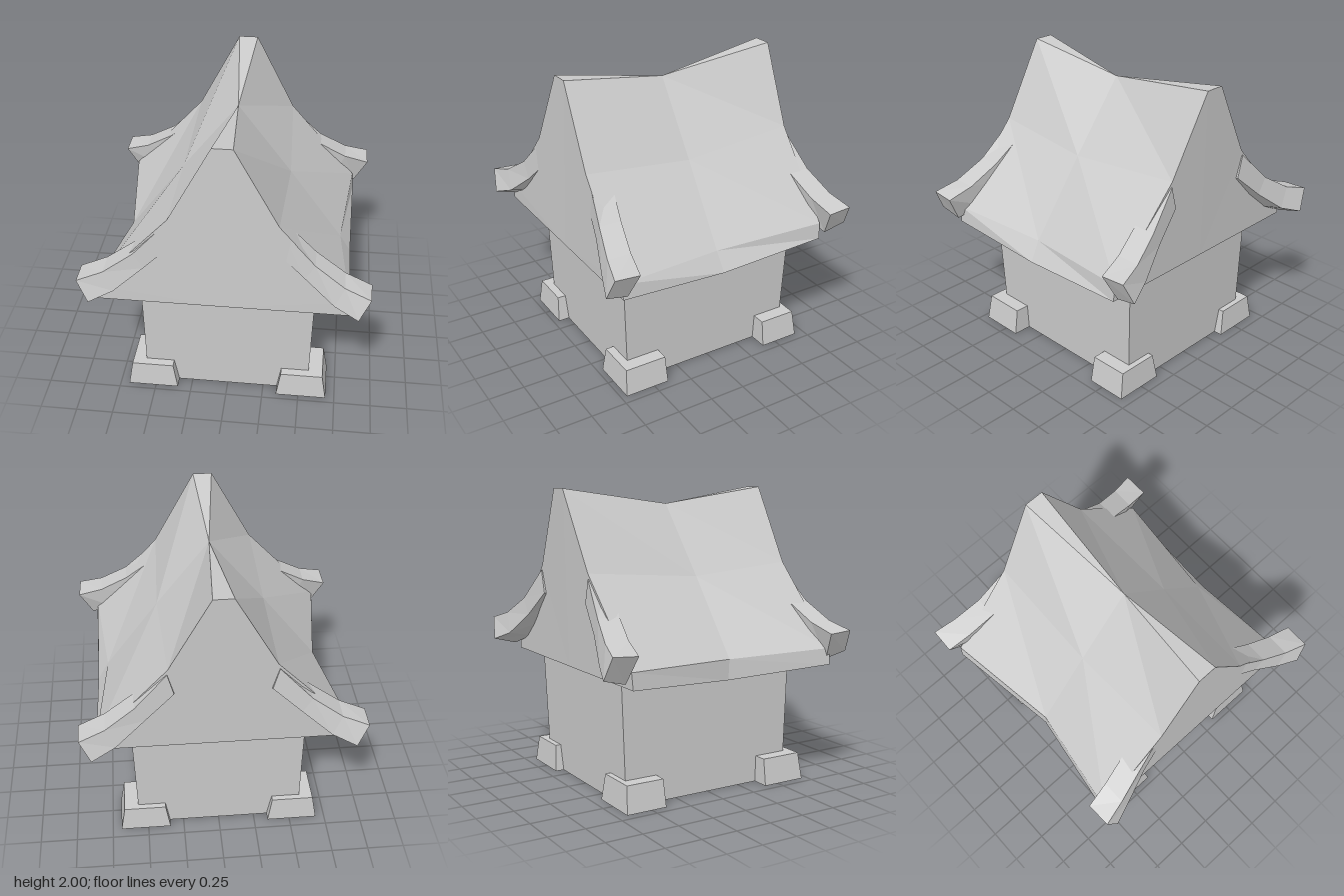
import * as THREE from 'three';

const material = new THREE.MeshStandardMaterial({ color: 0xcccccc, flatShading: true });

// Closed solid through a list of cross-sections; each is counter-clockwise seen from the first end.
function loft(name, sections, mirrored = false) {
  const s = mirrored ? sections.map((ring) => [...ring].reverse()) : sections;
  const n = s[0].length, last = s[s.length - 1], pos = [];
  const tri = (a, b, c) => pos.push(...a, ...b, ...c);
  for (let k = 0; k < s.length - 1; k++) {
    for (let i = 0; i < n; i++) {
      const j = (i + 1) % n;
      tri(s[k][i], s[k + 1][i], s[k][j]);
      tri(s[k][j], s[k + 1][i], s[k + 1][j]);
    }
  }
  for (let i = 1; i < n - 1; i++) {
    tri(s[0][0], s[0][i], s[0][i + 1]);
    tri(last[0], last[i + 1], last[i]);
  }
  const geometry = new THREE.BufferGeometry();
  geometry.setAttribute('position', new THREE.Float32BufferAttribute(pos, 3));
  geometry.computeVertexNormals();
  const mesh = new THREE.Mesh(geometry, material);
  mesh.name = name;
  return mesh;
}

// Horizontal rectangle used for the tapered blocks
const rect = (y, x0, x1, z0, z1) => [[x0, y, z1], [x1, y, z1], [x1, y, z0], [x0, y, z0]];

export function createModel() {
  const group = new THREE.Group();

  // Walls, flaring slightly towards the roof
  group.add(loft('walls', [
    rect(0.84, -0.57, 0.58, -0.65, 0.66),
    rect(0, -0.57, 0.56, -0.62, 0.63),
  ]));

  // Sagging gable roof: front gable, middle, back gable
  group.add(loft('roof', [
    [[0, 0.83, 0.785], [0.57, 0.83, 0.785], [0.81, 0.83, 0.785], [0.8, 0.94, 0.785], [0.34, 1.48, 0.775],
      [0.06, 2, 0.765], [-0.07, 2, 0.765], [-0.35, 1.48, 0.775], [-0.85, 0.94, 0.785], [-0.86, 0.83, 0.785],
      [-0.57, 0.83, 0.785]],
    [[0, 0.83, 0.03], [0.57, 0.83, 0.03], [0.8, 0.79, 0.04], [0.725, 0.92, 0.05], [0.365, 1.42, 0.04],
      [0.01, 1.89, 0.03], [0.01, 1.89, 0.03], [-0.36, 1.42, 0.04], [-0.735, 0.92, 0.05], [-0.74, 0.785, 0.04],
      [-0.57, 0.83, 0.03]],
    [[0, 0.83, -0.73], [0.57, 0.83, -0.73], [0.81, 0.83, -0.73], [0.8, 0.94, -0.735], [0.33, 1.48, -0.76],
      [0.06, 2, -0.79], [-0.07, 2, -0.79], [-0.35, 1.48, -0.76], [-0.85, 0.94, -0.735], [-0.86, 0.83, -0.73],
      [-0.57, 0.83, -0.73]],
  ]));

  // Upswept corner beam, tip first: outer top, outer bottom, inner bottom, inner top
  const beam = [
    [[0.925, 1.06, 0.9], [0.855, 0.91, 0.925], [0.84, 0.87, 0.77], [0.93, 1.05, 0.73]],
    [[0.76, 1.11, 0.86], [0.7, 0.97, 0.87], [0.68, 0.94, 0.71], [0.76, 1.11, 0.7]],
    [[0.57, 1.23, 0.81], [0.51, 1.12, 0.805], [0.48, 1.08, 0.66], [0.57, 1.23, 0.66]],
    [[0.36, 1.445, 0.765], [0.32, 1.29, 0.765], [0.3, 1.26, 0.61], [0.35, 1.42, 0.61]],
  ];

  for (const sx of [1, -1]) {
    for (const sz of [1, -1]) {
      const side = (sz > 0 ? 'front' : 'back') + (sx > 0 ? 'Left' : 'Right');
      const mirrored = sx * sz < 0;
      const shift = sx > 0 && sz < 0 ? -0.025 : 0;
      group.add(loft(side + 'RoofBeam',
        beam.map((ring) => ring.map(([x, y, z]) => [sx * x + shift, y, sz * z])), mirrored));

      // Tapered corner foot
      const outer = sz > 0 ? 0.71 : 0.68;
      const foot = [rect(0.18, 0.375, 0.66, 0.4, outer - 0.015), rect(0, 0.345, 0.69, 0.395, outer)];
      group.add(loft(side + 'Foot',
        foot.map((ring) => ring.map(([x, y, z]) => [sx * x, y, sz * z])), mirrored));
    }
  }
  return group;
}
